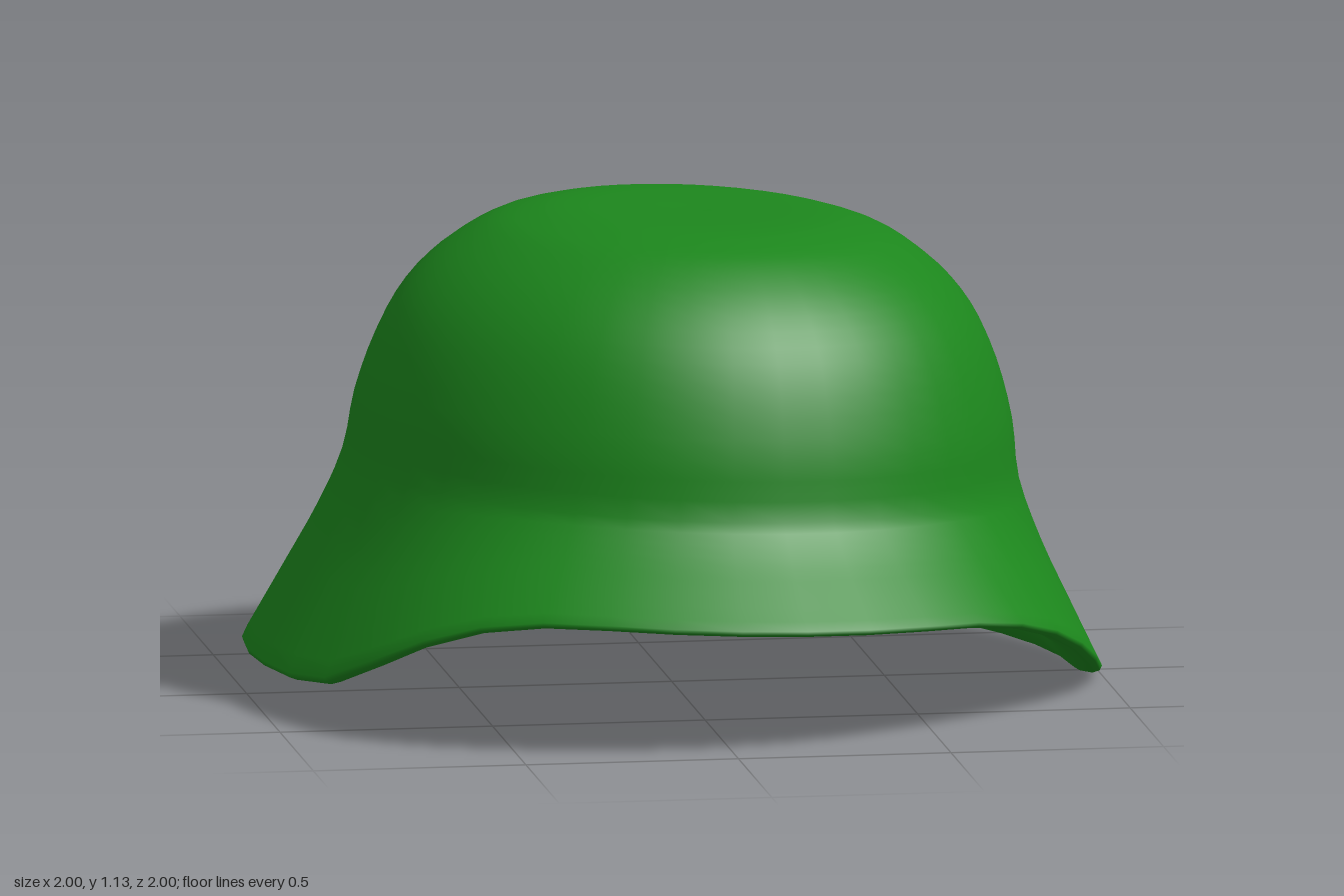
import * as THREE from 'three';
import { mergeVertices } from 'three/addons/utils/BufferGeometryUtils.js';

const BRIM_TOP = 0.46; // height where the dome meets the flared brim
const FRONT_RISE = 0.24; // how far the brim lifts over the face

const spline = (pts, n) =>
  new THREE.SplineCurve(pts.map(([r, y]) => new THREE.Vector2(r, y))).getPoints(n);

export function createModel() {
  const group = new THREE.Group();
  group.name = 'helmet';
  const green = new THREE.MeshStandardMaterial({ color: 0x1c861c });
  green.name = 'forest green';

  // Shell profile: down the steep bowl inside, round the thick lip, up the outside
  const inside = spline([
    [0, 1.01], [0.15, 1.01], [0.3, 0.995], [0.43, 0.95], [0.55, 0.865], [0.64, 0.75],
    [0.7, 0.61], [0.74, 0.46], [0.785, 0.3], [0.835, 0.15], [0.875, 0.06], [0.92, 0.012],
  ], 32);
  const lip = [[0.95, -0.01], [0.978, -0.014], [0.995, -0.008]].map(p => new THREE.Vector2(...p));
  const outside = spline([
    [1, 0.004], [0.92, 0.16], [0.845, 0.31], [0.787, 0.46], [0.765, 0.6], [0.722, 0.74],
    [0.665, 0.85], [0.585, 0.94], [0.485, 1.01], [0.4, 1.042], [0.3, 1.06], [0.15, 1.062], [0, 1.06],
  ], 36);
  const profile = [...inside, ...lip, ...outside];
  profile[0].x = 0;
  profile[profile.length - 1].x = 0;
  let geo = new THREE.LatheGeometry(profile, 40);

  // Lift the front of the brim; the lift starts further back on the left (+x) side
  const pos = geo.attributes.position;
  for (let i = 0; i < pos.count; i++) {
    const x = pos.getX(i), y = pos.getY(i), z = pos.getZ(i);
    const facing = z / Math.max(Math.hypot(x, z), 1e-6);
    const fade = THREE.MathUtils.clamp((BRIM_TOP - y) / BRIM_TOP, 0, 1);
    const lift = x > 0
      ? THREE.MathUtils.smoothstep(facing, 0, 0.87)
      : THREE.MathUtils.smoothstep(facing, 0.36, 0.95);
    pos.setY(i, y + FRONT_RISE * fade * lift);
  }
  geo.deleteAttribute('uv');
  geo.deleteAttribute('normal');
  geo = mergeVertices(geo, 1e-4);
  geo.computeVertexNormals();

  // Worn at a slight sideways tilt
  const shell = new THREE.Mesh(geo, green);
  shell.name = 'helmetShell';
  shell.rotation.z = -0.045;
  shell.position.y = 0.06;
  group.add(shell);
  return group;
}
